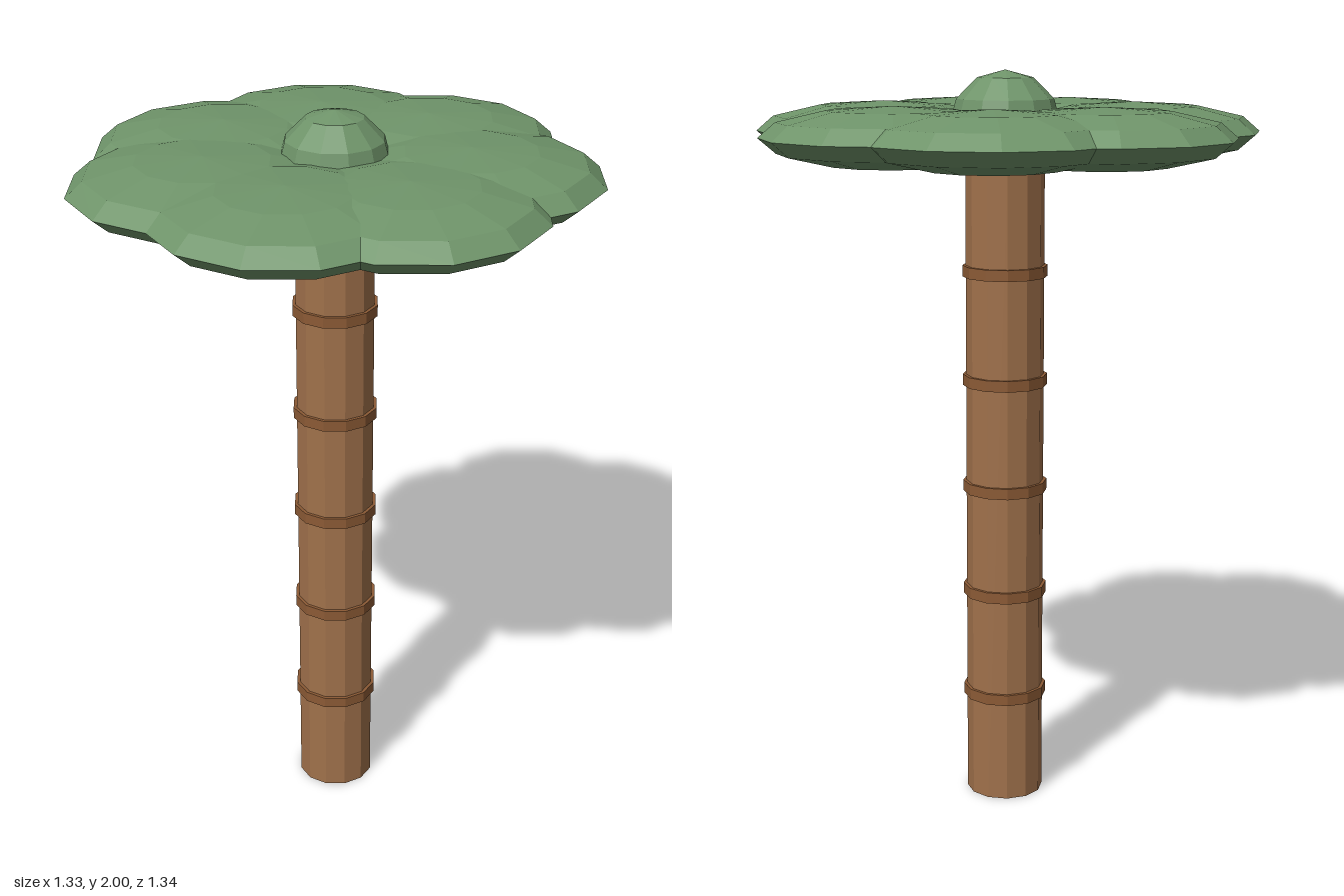
import * as THREE from 'three';

const SIDES = 12;
const paint = (color) => new THREE.MeshStandardMaterial({ color, flatShading: true });

export function createModel() {
  const palm = new THREE.Group();
  palm.name = 'palmTree';

  const bark = paint(0xa0714b);
  const ringBark = paint(0x8b5a35);
  const green = paint(0x6f946a);

  const add = (name, geometry, material, x, y, z) => {
    const mesh = new THREE.Mesh(geometry, material);
    mesh.name = name;
    mesh.position.set(x, y, z);
    palm.add(mesh);
    return mesh;
  };

  // Trunk with evenly spaced bark rings
  const step = 0.295;
  const trunkHeight = step * 6;
  add('trunk', new THREE.CylinderGeometry(0.105, 0.105, trunkHeight, SIDES), bark, 0, trunkHeight / 2, 0);
  const ringGeometry = new THREE.CylinderGeometry(0.114, 0.114, 0.03, SIDES);
  for (let i = 1; i <= 5; i++) add('trunkRing' + i, ringGeometry, ringBark, 0, i * step, 0);

  // Crown of seven overlapping flattened leaves, all facing the same way
  const leafRadius = 0.34;
  const leafGeometry = new THREE.SphereGeometry(leafRadius, SIDES, 6).scale(1, 0.23, 1);
  for (let i = 0; i < 7; i++) {
    const a = (i / 7) * Math.PI * 2;
    add('leaf' + (i + 1), leafGeometry, green, Math.cos(a) * leafRadius, 1.838, Math.sin(a) * leafRadius);
  }

  // Round bud in the middle of the crown
  add('crownBud', new THREE.SphereGeometry(0.148, SIDES, 6), green, 0, 1.852, 0);

  // The odd number of leaves is wider on one side, so shift to centre
  palm.children.forEach((part) => { part.position.x -= 0.017; });
  return palm;
}
